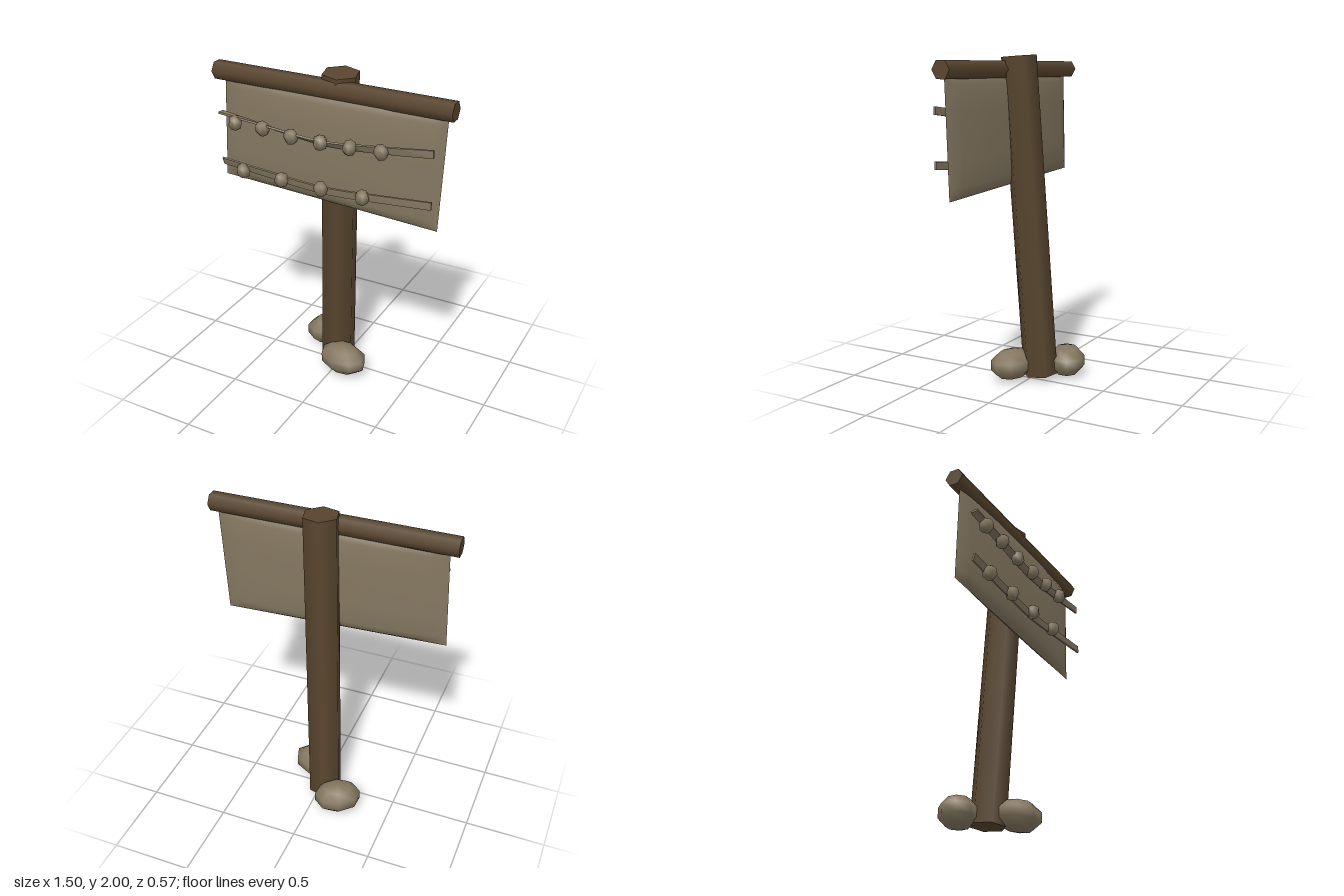
import * as THREE from 'three';

export function createModel() {
  const model = new THREE.Group();
  const wood = new THREE.MeshStandardMaterial({ color: 0x58452e });
  wood.name = 'brown wood';
  const hide = new THREE.MeshStandardMaterial({ color: 0x857861 });
  hide.name = 'pale hide and stone';

  const add = (name, geometry, material, position = [0, 0, 0], parent = model) => {
    const mesh = new THREE.Mesh(geometry, material);
    mesh.name = name;
    mesh.position.set(...position);
    parent.add(mesh);
    return mesh;
  };

  // Hexagonal bar between two points; turn sets where its corners lie
  const bar = (name, from, to, radius, turn) => {
    const a = new THREE.Vector3(...from), b = new THREE.Vector3(...to);
    const dir = b.clone().sub(a);
    const g = new THREE.CylinderGeometry(radius, radius, dir.length(), 6).rotateY(turn);
    const mesh = add(name, g, wood, a.add(b).multiplyScalar(0.5).toArray());
    mesh.quaternion.setFromUnitVectors(new THREE.Vector3(0, 1, 0), dir.normalize());
  };
  bar('post', [-0.04, 0.03, -0.05], [0.035, 1.993, 0.06], 0.11, 0.24);
  bar('crossbar', [-0.75, 1.918, 0.13], [0.75, 1.91, 0.13], 0.058, 0);

  // Smooth surface from rows of points, with shared vertices
  const surface = (rows, flip = false) => {
    const n = rows[0].length, index = [];
    for (let i = 0; i < rows.length - 1; i++) {
      for (let j = 0; j < n - 1; j++) {
        const a = i * n + j, b = a + 1, c = a + n, d = c + 1;
        index.push(...(flip ? [a, c, b, b, c, d] : [a, b, c, b, d, c]));
      }
    }
    const g = new THREE.BufferGeometry();
    g.setAttribute('position', new THREE.Float32BufferAttribute(rows.flat(2), 3));
    g.setIndex(index);
    g.computeVertexNormals();
    return g;
  };

  // Padded hanging panel, pinched thin along its edges
  const us = [-1, -0.96, -0.85, -0.45, 0, 0.45, 0.85, 0.96, 1];
  const vs = [-1, -0.94, -0.8, -0.4, 0, 0.4, 0.8, 0.94, 1];
  const lerp = THREE.MathUtils.lerp;
  const panelSide = (side) => vs.map((v) => us.map((u) => {
    const s = (u + 1) / 2, t = (v + 1) / 2;
    const x = lerp(lerp(-0.72, 0.68, s), lerp(-0.69, 0.715, s), t);
    const y = lerp(lerp(1.255, 1.19, s), 1.9, t);
    const bulge = 0.052 * (1 - Math.abs(u) ** 6) * (1 - Math.abs(v) ** 10);
    return [x, y, 0.132 + side * bulge];
  }));
  const panel = new THREE.Group();
  panel.name = 'panel';
  model.add(panel);
  add('panelFront', surface(panelSide(1)), hide, [0, 0, 0], panel);
  add('panelBack', surface(panelSide(-1), true), hide, [0, 0, 0], panel);

  // Sagging flat cord; twist is its roll at the left end
  const cord = (name, path, twist) => {
    const curve = new THREE.CatmullRomCurve3(path.map(([x, y]) => new THREE.Vector3(x, y, 0.225)));
    const rows = [];
    for (let i = 0; i <= 8; i++) {
      const p = curve.getPoint(i / 8);
      const angle = twist * (1 - i / 8);
      const c = Math.cos(angle), s = Math.sin(angle);
      const corners = [[1, 1], [1, -1], [-1, -1], [-1, 1], [1, 1]];
      rows.push(corners.map(([a, b]) => {
        const w = 0.023 * a, h = 0.006 * b;
        return [p.x, p.y + w * c - h * s, p.z + w * s + h * c];
      }));
    }
    // End caps
    const cap = (row) => row.map(() => [0, 1, 2].map((k) => (row[0][k] + row[2][k]) / 2));
    rows.unshift(cap(rows[0]));
    rows.push(cap(rows[rows.length - 1]));
    const g = surface(rows, true).toNonIndexed();
    g.computeVertexNormals();
    const mesh = add(name, g, cordMaterial);
    return mesh;
  };
  const cordMaterial = hide.clone();
  cordMaterial.name = 'hide cord';
  cordMaterial.side = THREE.DoubleSide;
  cord('upperCord', [[-0.675, 1.695], [-0.35, 1.66], [0, 1.625], [0.3, 1.648], [0.675, 1.69]], 1.5);
  cord('lowerCord', [[-0.675, 1.387], [-0.35, 1.36], [0, 1.335], [0.3, 1.355], [0.675, 1.387]], 0.35);

  // Beads threaded on the cords
  const beads = [
    [-0.565, 1.652], [-0.378, 1.65], [-0.19, 1.635], [0, 1.635], [0.185, 1.64], [0.375, 1.65],
    [-0.525, 1.355], [-0.26, 1.352], [0, 1.35], [0.265, 1.355],
  ];
  const beadGeometry = new THREE.SphereGeometry(0.046, 6, 4);
  beads.forEach(([x, y], i) => {
    const bead = add('bead', beadGeometry, hide, [x, y, 0.242]);
    bead.scale.set(0.95, 1.05, 1);
    bead.rotation.set(0.25, i * 0.7, 0.15 * Math.sin(i * 2));
  });

  // Stones at the foot of the post
  const stoneGeometry = new THREE.SphereGeometry(1, 8, 5);
  const stone = (name, position, size, turn) => {
    const mesh = add(name, stoneGeometry, hide, position);
    mesh.scale.set(...size);
    mesh.rotation.y = turn;
  };
  stone('frontStone', [0.068, 0.1, 0.09], [0.168, 0.095, 0.12], -0.2);
  stone('backStone', [-0.17, 0.097, -0.168], [0.153, 0.097, 0.12], 0.45);

  return model;
}
